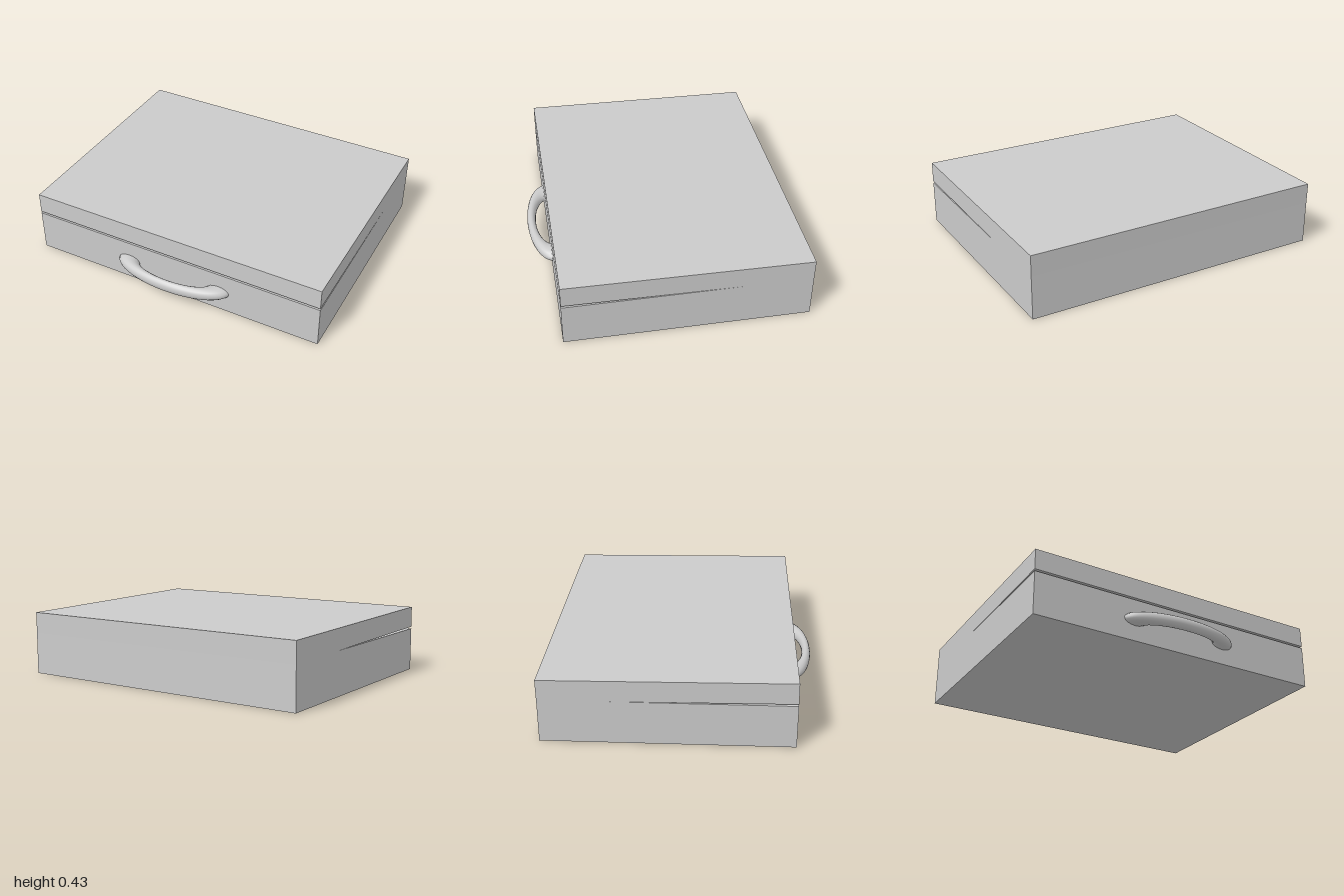
import * as THREE from 'three';

const WIDTH = 2, DEPTH = 1.537, WALL = 0.1, BACK = -0.835;
const material = new THREE.MeshStandardMaterial({ color: 0xcccccc });

function rect(target, x0, z0, x1, z1) {
  target.moveTo(x0, z0);
  target.lineTo(x1, z0);
  target.lineTo(x1, z1);
  target.lineTo(x0, z1);
  target.closePath();
  return target;
}

function addMesh(parent, name, geometry) {
  const mesh = new THREE.Mesh(geometry, material);
  mesh.name = name;
  parent.add(mesh);
  return mesh;
}

// Hollow half of the case: back edge at z = 0, bottom at y = 0
function tray(name, height, panelThickness, panelOnTop) {
  const group = new THREE.Group();
  group.name = name;

  // Four walls as one extruded frame
  const frame = rect(new THREE.Shape(), -WIDTH / 2, -DEPTH, WIDTH / 2, 0);
  frame.holes.push(rect(new THREE.Path(), -WIDTH / 2 + WALL, -DEPTH + WALL, WIDTH / 2 - WALL, -WALL));
  const walls = new THREE.ExtrudeGeometry(frame, { depth: height, bevelEnabled: false });
  walls.rotateX(-Math.PI / 2);
  addMesh(group, name + 'Walls', walls);

  // Panel closing the frame
  const panel = new THREE.BoxGeometry(WIDTH - 2 * WALL, panelThickness, DEPTH - 2 * WALL);
  const y = panelOnTop ? height - panelThickness / 2 : panelThickness / 2;
  panel.translate(0, y, DEPTH / 2);
  addMesh(group, name + 'Panel', panel);
  return group;
}

export function createModel() {
  const model = new THREE.Group();
  model.name = 'briefcase';

  // Lower half
  const base = tray('base', 0.28, 0.1, false);
  base.position.z = BACK;
  model.add(base);

  // Lid, slightly ajar on its back edge
  const lid = tray('lid', 0.135, 0.07, true);
  lid.position.set(0, 0.275, BACK);
  lid.rotation.x = -0.0117;
  model.add(lid);

  // Carrying handle: flattened half ring running into the front wall
  const ring = new THREE.TorusGeometry(0.325, 0.075, 16, 40, Math.PI);
  ring.rotateX(Math.PI / 2);
  ring.scale(1, 0.53, 0.377);
  const handle = addMesh(model, 'handle', ring);
  handle.position.set(0, 0.142, 0.685);

  return model;
}
